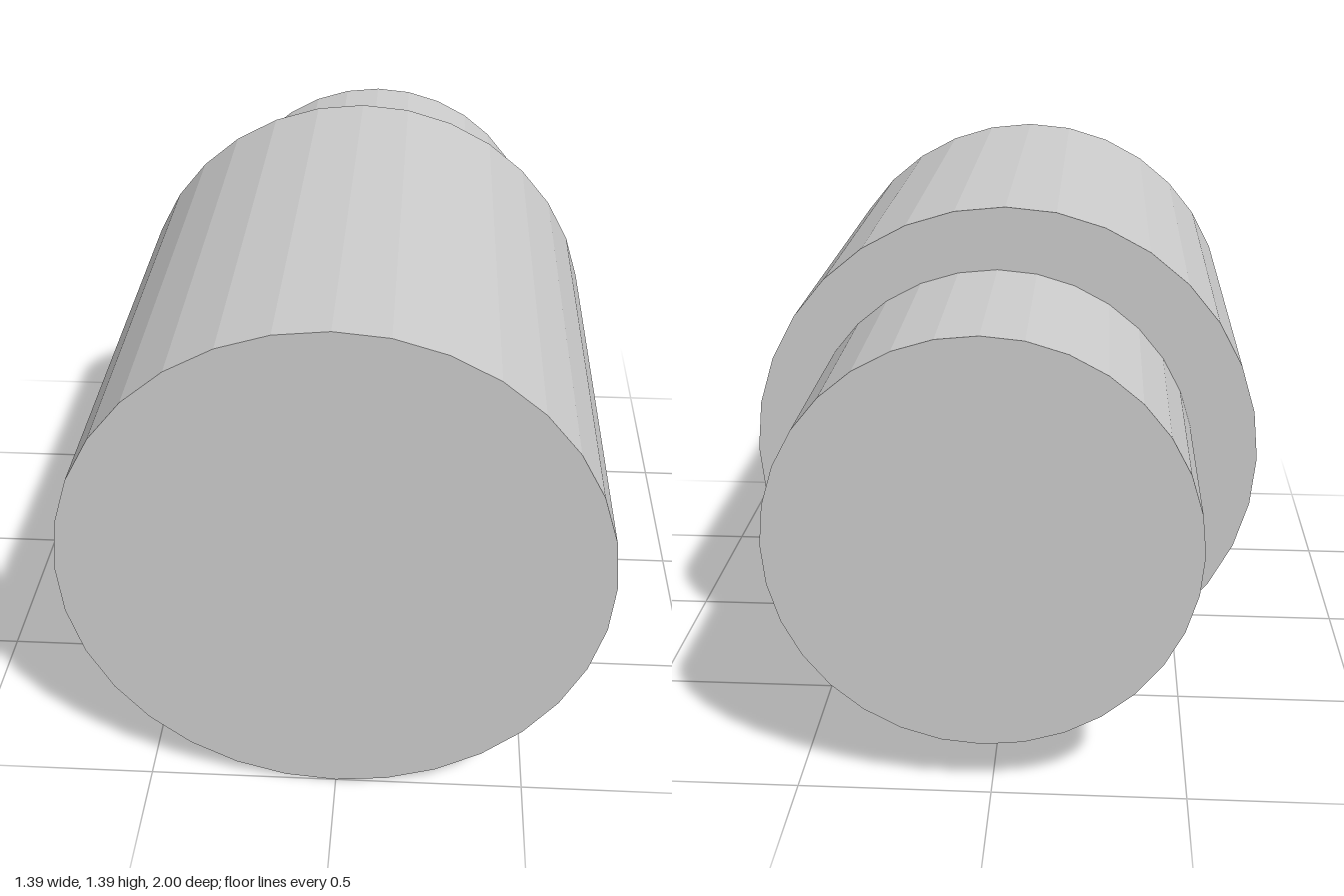
import * as THREE from 'three';

const material = new THREE.MeshStandardMaterial({ color: 0xcccccc, flatShading: true });

// Faceted cylinder lying along z, between two depths
function drum(name, radius, x, y, zBack, zFront) {
  const geometry = new THREE.CylinderGeometry(radius, radius, zFront - zBack, 32);
  geometry.rotateX(Math.PI / 2);
  const mesh = new THREE.Mesh(geometry, material);
  mesh.name = name;
  mesh.position.set(x, y, (zBack + zFront) / 2);
  return mesh;
}

export function createModel() {
  const group = new THREE.Group();
  group.name = 'steppedCylinder';
  // Wide body at the front
  group.add(drum('body', 0.696, 0, 0.696, -0.394, 1));
  // Narrower, slightly off-centre stub at the back
  group.add(drum('rearStub', 0.54, 0.021, 0.682, -1, -0.394));
  return group;
}
